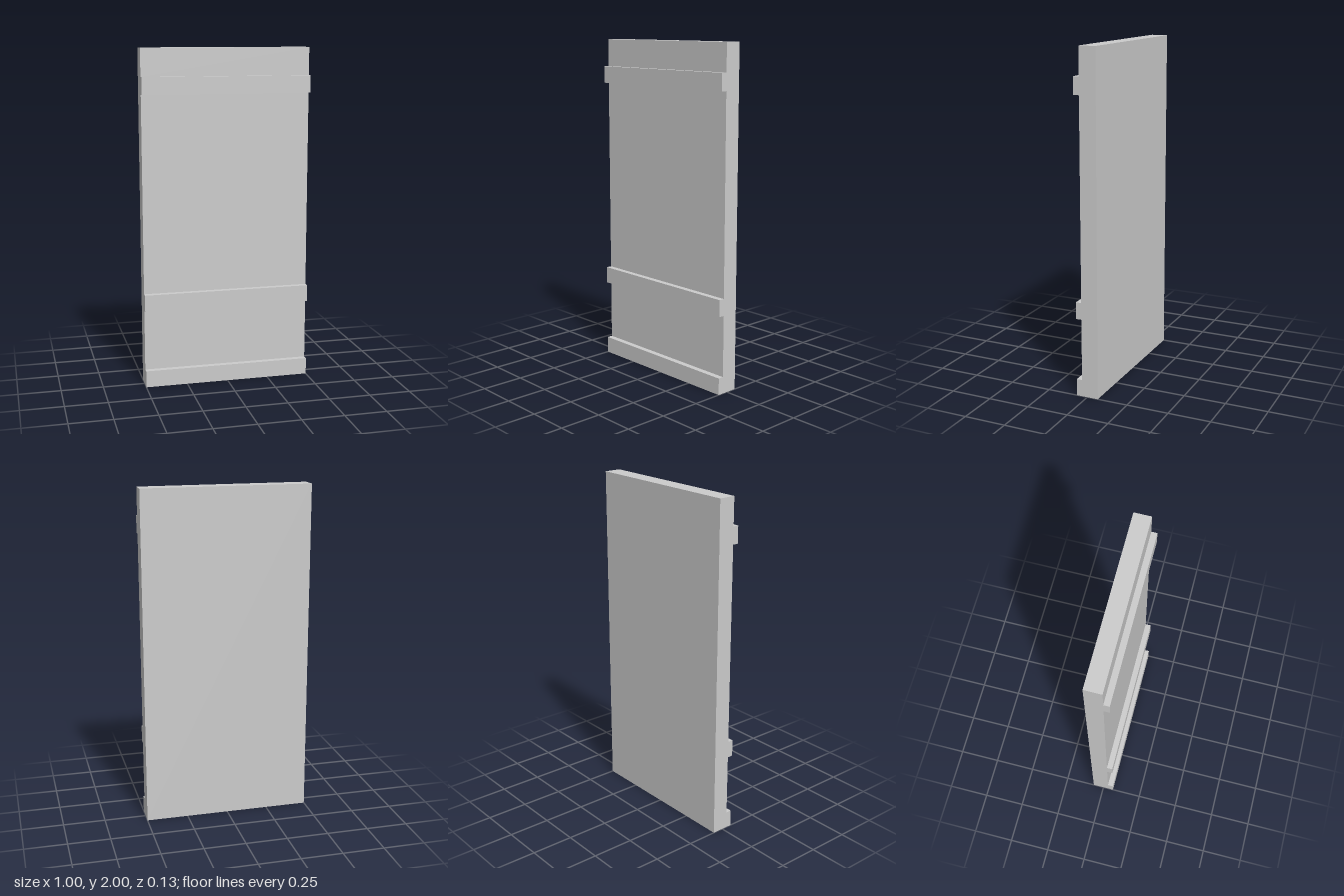
import * as THREE from 'three';

const WIDTH = 1, HEIGHT = 2;
const BACK = -0.067, FACE = 0.033, RAIL_FACE = 0.067;
const RAILS = [[0, 0.1], [0.467, 0.567], [1.737, 1.837]]; // bottom and top of each rail

export function createModel() {
  const group = new THREE.Group();
  group.name = 'wallPanel';

  // Side profile (z, y): flat back, front stepping out at each rail
  const profile = new THREE.Shape();
  profile.moveTo(BACK, 0);
  for (const [bottom, top] of RAILS) {
    if (bottom > 0) profile.lineTo(FACE, bottom);
    profile.lineTo(RAIL_FACE, bottom);
    profile.lineTo(RAIL_FACE, top);
    profile.lineTo(FACE, top);
  }
  profile.lineTo(FACE, HEIGHT);
  profile.lineTo(BACK, HEIGHT);
  profile.closePath();

  // Extrude across the width, turning the profile to face +z
  const geometry = new THREE.ExtrudeGeometry(profile, { depth: WIDTH, bevelEnabled: false });
  geometry.rotateY(-Math.PI / 2);
  geometry.translate(WIDTH / 2, 0, 0);

  const panel = new THREE.Mesh(geometry, new THREE.MeshStandardMaterial({ color: 0xcccccc }));
  panel.name = 'panelWithRails';
  group.add(panel);
  return group;
}
